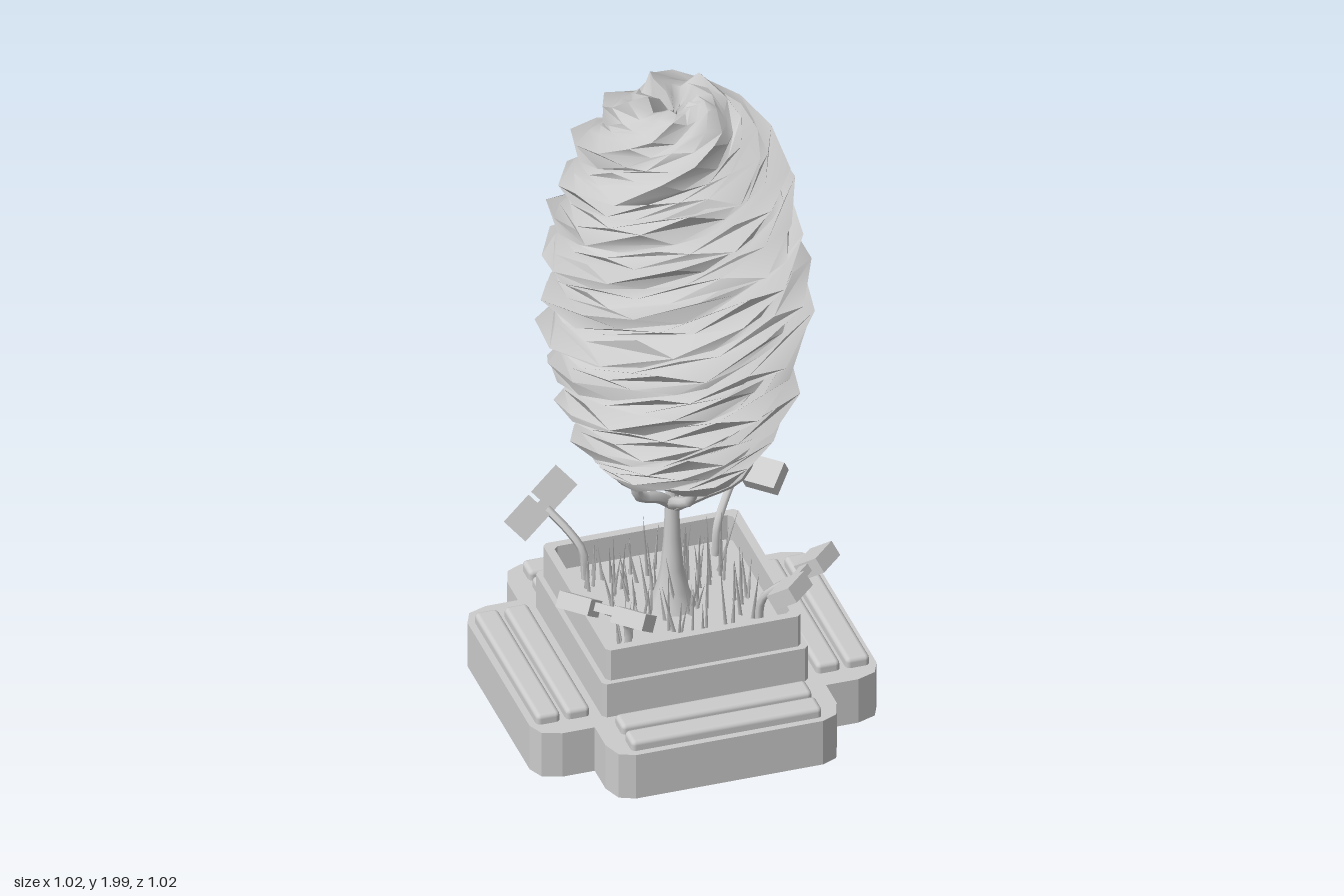
import * as THREE from 'three';
import { mergeGeometries, toCreasedNormals } from 'three/addons/utils/BufferGeometryUtils.js';
import { RoundedBoxGeometry } from 'three/addons/geometries/RoundedBoxGeometry.js';

const grey = new THREE.MeshStandardMaterial({ color: 0xcccccc, side: THREE.DoubleSide });
const V = (x, y, z) => new THREE.Vector3(x, y, z);

function seeded(seed) {
  return () => {
    seed = (seed * 16807) % 2147483647;
    return seed / 2147483647;
  };
}

function add(parent, name, geometry, x = 0, y = 0, z = 0) {
  const mesh = new THREE.Mesh(geometry, grey);
  mesh.name = name;
  mesh.position.set(x, y, z);
  parent.add(mesh);
  return mesh;
}

// Upright slab from a plan outline, with an optional hole
function slab(outline, height, hole) {
  const shape = new THREE.Shape(outline);
  if (hole) shape.holes.push(new THREE.Path(hole));
  return new THREE.ExtrudeGeometry(shape, { depth: height, bevelEnabled: false }).rotateX(-Math.PI / 2);
}

// Repeats one corner's points around the four quarters
function fourfold(corner) {
  const points = [];
  for (let q = 0; q < 4; q++)
    for (const [x, y] of corner)
      points.push(new THREE.Vector2(x, y).rotateAround(new THREE.Vector2(), q * Math.PI / 2));
  return points;
}

function crossOutline(inset) {
  const a = 0.51 - inset, b = 0.34 - inset;
  return fourfold([[a, b - 0.065], [a - 0.02, b - 0.02], [a - 0.075, b], [b, b],
    [b, a - 0.075], [b - 0.02, a - 0.02], [b - 0.065, a]]);
}

const squareOutline = (h) => fourfold([[h, h - 0.012], [h - 0.012, h]]);

// Tube whose radius runs from r0 to r1
function taperedTube(points, r0, r1, sides = 8, steps = 10) {
  const curve = new THREE.CatmullRomCurve3(points);
  const geo = new THREE.TubeGeometry(curve, steps, 1, sides);
  const p = geo.attributes.position, v = V(0, 0, 0);
  for (let i = 0; i < p.count; i++) {
    const t = Math.floor(i / (sides + 1)) / steps;
    const c = curve.getPointAt(t);
    v.fromBufferAttribute(p, i).sub(c).multiplyScalar(r0 + (r1 - r0) * t).add(c);
    p.setXYZ(i, v.x, v.y, v.z);
  }
  geo.computeVertexNormals();
  return geo;
}

// Crown: twisted pleats running up a profile
function crownGeometry() {
  const rand = seeded(77);
  const profile = new THREE.SplineCurve([[0.03, 0.76], [0.14, 0.73], [0.25, 0.79], [0.315, 0.9], [0.355, 1.05],
    [0.38, 1.25], [0.375, 1.45], [0.34, 1.65], [0.27, 1.81], [0.17, 1.92], [0.08, 1.96], [0.01, 1.9]]
    .map(([r, y]) => new THREE.Vector2(r, y)));
  const pleats = 5, cols = pleats * 4, rows = 34;
  const depth = [0.86, 0.9, 1.0, 0.9]; // valley, slope, ridge, slope
  const lift = [0, 0.01, 0.015, -0.01];
  const positions = [], index = [];
  for (let j = 0; j <= rows; j++) {
    const p = profile.getPointAt(j / rows);
    const turn = (p.y - 0.72) / 0.6 * Math.PI * 2;
    for (let i = 0; i < cols; i++) {
      const k = i % 4, ridge = k === 2 ? 1 : 0.4;
      const a = turn + i / cols * Math.PI * 2 + (rand() - 0.5) * 0.1;
      const r = p.x * (depth[k] + (rand() - 0.5) * 0.11 * ridge);
      const y = p.y + lift[k] + (rand() - 0.5) * 0.045 * ridge;
      positions.push(r * Math.sin(a) + 0.005, Math.min(y, 2), r * Math.cos(a));
    }
  }
  for (let j = 0; j < rows; j++)
    for (let i = 0; i < cols; i++) {
      const n = (i + 1) % cols;
      const a = j * cols + i, b = j * cols + n, c = b + cols, d = a + cols;
      index.push(a, b, c, a, c, d);
    }
  const geo = new THREE.BufferGeometry();
  geo.setAttribute('position', new THREE.Float32BufferAttribute(positions, 3));
  geo.setIndex(index);
  return toCreasedNormals(geo, 0.75);
}

function grassGeometry() {
  const rand = seeded(5);
  const blades = [];
  for (let i = 0; i < 75; i++) {
    const h = 0.1 + rand() * 0.12;
    const blade = new THREE.ConeGeometry(0.007, h, 3).translate(0, h / 2, 0);
    blade.rotateZ((rand() - 0.5) * 0.6).rotateY(rand() * Math.PI * 2);
    blades.push(blade.translate((rand() - 0.5) * 0.42, 0.27, (rand() - 0.5) * 0.42));
  }
  return mergeGeometries(blades);
}

// Pair of tilted lamp heads on a bent arm, reaching out along +z
function lampPair() {
  const lamp = new THREE.Group();
  lamp.name = 'lampPair';
  add(lamp, 'lampArm', taperedTube([V(0, 0.28, 0.27), V(0, 0.37, 0.28), V(0, 0.42, 0.32), V(0, 0.485, 0.4)], 0.012, 0.012, 6));
  add(lamp, 'lampCrossbar', new THREE.BoxGeometry(0.1, 0.025, 0.03), 0, 0.49, 0.4).rotation.x = -0.6;
  for (const s of [-1, 1])
    add(lamp, 'lampHead', new THREE.BoxGeometry(0.1, 0.048, 0.082), s * 0.085, 0.49, 0.41).rotation.x = -0.6;
  return lamp;
}

export function createModel() {
  const model = new THREE.Group();
  model.name = 'planterTree';

  // Hollow cross-shaped plinth
  add(model, 'plinthWall', slab(crossOutline(0), 0.145, crossOutline(0.006)));
  add(model, 'plinthTop', slab(crossOutline(0.003), 0.006), 0, 0.139, 0);

  // Planter box with a stepped wall
  add(model, 'planterLower', slab(squareOutline(0.303), 0.11, squareOutline(0.262)), 0, 0.145, 0);
  add(model, 'planterUpper', slab(squareOutline(0.287), 0.1, squareOutline(0.262)), 0, 0.255, 0);
  add(model, 'soil', slab(squareOutline(0.264), 0.01), 0, 0.265, 0);
  add(model, 'grass', grassGeometry());

  // Bench slats and lamps on each side
  for (let q = 0; q < 4; q++) {
    const side = new THREE.Group();
    side.name = 'bench';
    side.rotation.y = q * Math.PI / 2;
    for (const z of [0.455, 0.368])
      add(side, 'benchSlat', new RoundedBoxGeometry(0.56, 0.045, 0.07, 2, 0.014), 0, 0.153, z);
    model.add(side);
    const lamp = lampPair();
    lamp.rotation.y = Math.PI / 4 + q * Math.PI / 2;
    model.add(lamp);
  }

  // Trunk and branches
  const trunk = [[0.07, 0.27], [0.048, 0.33], [0.033, 0.4], [0.024, 0.5], [0.02, 0.6], [0.018, 0.66]];
  add(model, 'trunk', new THREE.LatheGeometry(trunk.map(([r, y]) => new THREE.Vector2(r, y)), 10));
  const branches = [
    [V(0, 0.61, 0), V(-0.05, 0.66, 0.03), V(-0.12, 0.7, 0.06), V(-0.13, 0.84, 0.08)],
    [V(0, 0.6, 0), V(0.08, 0.645, 0.03), V(0.18, 0.7, 0.06), V(0.23, 0.84, 0.08)],
    [V(0, 0.61, 0), V(0.03, 0.66, -0.07), V(0.05, 0.7, -0.13), V(0.06, 0.84, -0.18)],
    [V(0, 0.61, 0), V(-0.01, 0.66, 0.07), V(0.01, 0.7, 0.13), V(0.02, 0.84, 0.16)],
    [V(0, 0.64, 0), V(0.005, 0.75, 0), V(0, 0.9, 0.01)],
  ];
  for (const path of branches) add(model, 'branch', taperedTube(path, 0.019, 0.012));

  add(model, 'crown', crownGeometry());
  return model;
}
